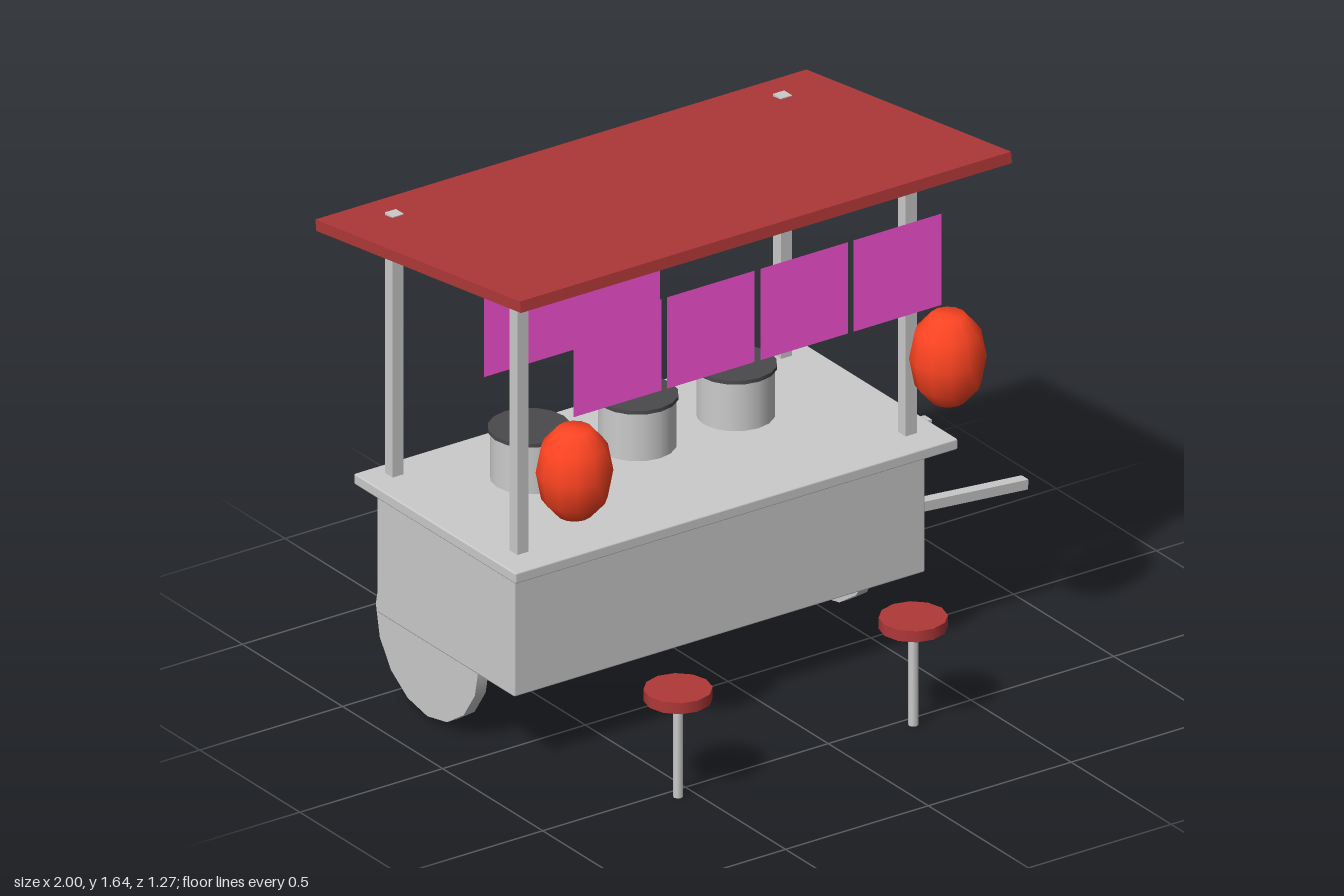
import * as THREE from 'three';
import { RoundedBoxGeometry } from 'three/addons/geometries/RoundedBoxGeometry.js';

const mat = (color) => new THREE.MeshStandardMaterial({ color });
const CX = -0.14; // centre line of the cart; the handles reach out to x = 1

export function createModel() {
  const group = new THREE.Group();
  const grey = mat(0xcccccc);
  const red = mat(0xb03838);
  const dark = mat(0x4a4a4c);
  const orange = mat(0xff4422);
  const pink = mat(0xff55dd);
  pink.side = THREE.DoubleSide;

  const add = (name, geometry, material, x, y, z) => {
    const mesh = new THREE.Mesh(geometry, material);
    mesh.name = name;
    mesh.position.set(x, y, z);
    group.add(mesh);
    return mesh;
  };

  // Cart body and overhanging counter
  add('cartBody', new RoundedBoxGeometry(1.44, 0.41, 0.688, 1, 0.006), grey, CX, 0.455, -0.186);
  add('counter', new RoundedBoxGeometry(1.55, 0.034, 0.808, 1, 0.005), grey, CX, 0.676, -0.161);

  // Four posts, the back pair just breaking through the roof
  const postGeo = new THREE.BoxGeometry(0.039, 0.833, 0.039);
  for (const side of [-1, 1])
    for (const z of [0.125, -0.498])
      add('post', postGeo, grey, CX + side * 0.68, 1.106, z);

  // Sloping roof
  const roof = add('roof', new THREE.BoxGeometry(1.72, 0.035, 1.032), red, CX, 1.552, -0.122);
  roof.rotation.x = -0.139;

  // Wheels set into the ends of the body
  const wheelGeo = new THREE.CylinderGeometry(0.257, 0.257, 0.038, 16).rotateZ(Math.PI / 2);
  for (const side of [-1, 1])
    add('wheel', wheelGeo, grey, CX + side * 0.687, 0.264, -0.296);

  // Pull handles, sloping down from the right-hand end
  const handleGeo = new THREE.BoxGeometry(0.5, 0.031, 0.035);
  for (const z of [0.057, -0.426])
    add('handle', handleGeo, grey, 0.75, 0.4, z).rotation.z = -0.083;

  // Cooking pots with dark lids
  const potGeo = new THREE.CylinderGeometry(0.114, 0.114, 0.155, 16);
  const lidGeo = new THREE.CylinderGeometry(0.12, 0.12, 0.012, 16);
  for (const x of [-0.517, -0.139, 0.206]) {
    add('pot', potGeo, grey, x, 0.77, -0.256);
    add('potLid', lidGeo, dark, x, 0.85, -0.256);
  }

  // Paper lanterns with flat ends
  const lanternGeo = new THREE.LatheGeometry(
    [[0, -0.137], [0.05, -0.137], [0.096, -0.085], [0.112, 0], [0.096, 0.085], [0.05, 0.137], [0, 0.137]]
      .map(([r, y]) => new THREE.Vector2(r, y)), 12);
  for (const side of [-1, 1])
    add('lantern', lanternGeo, orange, CX + side * 0.654, 1.035, 0.365);

  // Row of short curtains at the front, one wide banner at the back
  const curtainGeo = new THREE.PlaneGeometry(0.307, 0.291);
  for (let i = 0; i < 4; i++)
    add('curtain', curtainGeo, pink, -0.64 + i * 0.327, 1.35, 0.36);
  add('backBanner', new THREE.PlaneGeometry(0.616, 0.34), pink, CX, 1.034, -0.58);

  // Round stools on single legs
  const seatGeo = new THREE.CylinderGeometry(0.1, 0.1, 0.035, 12);
  const legGeo = new THREE.CylinderGeometry(0.015, 0.015, 0.315, 8);
  for (const x of [-0.552, 0.272]) {
    add('stoolSeat', seatGeo, red, x, 0.327, 0.537);
    add('stoolLeg', legGeo, grey, x, 0.1575, 0.537);
  }

  return group;
}
